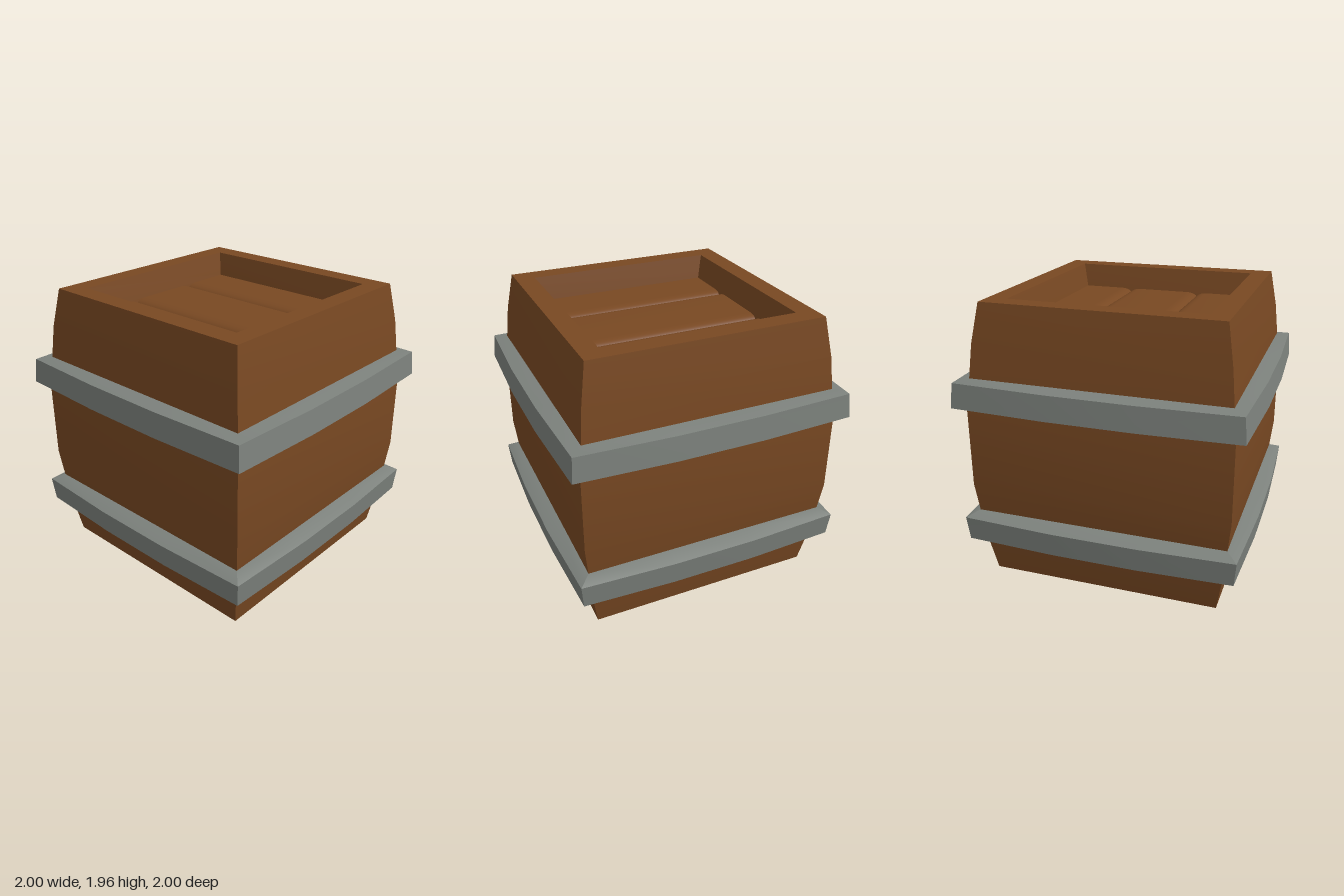
import * as THREE from 'three';
import { toCreasedNormals } from 'three/addons/utils/BufferGeometryUtils.js';

const wood = new THREE.MeshStandardMaterial({ color: 0x784822 });
wood.name = 'brown wood';
const iron = new THREE.MeshStandardMaterial({ color: 0x7c817c });
iron.name = 'grey iron';

function addMesh(group, name, geometry, material) {
  const mesh = new THREE.Mesh(toCreasedNormals(geometry, 0.5), material);
  mesh.name = name;
  group.add(mesh);
  return mesh;
}

// Square loft: profile points are [half width, height]
function squareLathe(profile) {
  const pts = profile.map(([h, y]) => new THREE.Vector2(h * Math.SQRT2, y));
  return new THREE.LatheGeometry(pts, 4, Math.PI / 4);
}

// Square ring whose sides bow outwards: profile points are [corner half width, height, bow]
function bowedRing(profile) {
  const n = profile.length;
  const geo = new THREE.LatheGeometry(profile.map(([h, y]) => new THREE.Vector2(h, y)), 12);
  const pos = geo.attributes.position;
  for (let i = 0; i <= 12; i++) {
    for (let j = 0; j < n; j++) {
      const [h, y, bow] = profile[j];
      const step = i % 3;
      let x = h + (step ? bow : 0);
      let z = step === 0 ? h : (step === 1 ? 0.3 : -0.3);
      for (let k = 0; k < Math.floor(i / 3); k++) [x, z] = [z, -x];
      pos.setXYZ(i * n + j, x, y, z);
    }
  }
  return geo;
}

// Lid board with rounded long edges where it meets its neighbours
function plank(x0, x1, roundLeft, roundRight) {
  const base = 1.74, top = 1.79, drop = 0.025, r = 0.08;
  const s = new THREE.Shape();
  s.moveTo(x0, base);
  s.lineTo(x1, base);
  if (roundRight) {
    s.lineTo(x1, top - drop);
    s.quadraticCurveTo(x1 - r * 0.3, top, x1 - r, top);
  } else s.lineTo(x1, top);
  if (roundLeft) {
    s.lineTo(x0 + r, top);
    s.quadraticCurveTo(x0 + r * 0.3, top, x0, top - drop);
  } else s.lineTo(x0, top);
  s.closePath();
  const geo = new THREE.ExtrudeGeometry(s, { depth: 1.26, bevelEnabled: false, curveSegments: 6 });
  return geo.translate(0, 0, -0.63);
}

export function createModel() {
  const group = new THREE.Group();
  group.name = 'squareBarrel';

  // Bulging body with a recess in the top and the bottom
  addMesh(group, 'body', squareLathe([
    [0, 0.16], [0.63, 0.16], [0.67, 0], [0.805, 0],
    [0.85, 0.27], [0.873, 0.48], [0.896, 0.7], [0.896, 1.255],
    [0.873, 1.46], [0.85, 1.69], [0.805, 1.955],
    [0.67, 1.955], [0.63, 1.79], [0.623, 1.755], [0, 1.755],
  ]), wood);

  // Three boards in the top recess
  addMesh(group, 'leftLidPlank', plank(-0.63, -0.268, false, true), wood);
  addMesh(group, 'middleLidPlank', plank(-0.268, 0.263, true, true), wood);
  addMesh(group, 'rightLidPlank', plank(0.263, 0.63, true, false), wood);

  // Iron bands
  addMesh(group, 'upperBand', bowedRing([
    [0.86, 1.238, 0], [0.895, 1.24, 0], [0.97, 1.275, 0.03],
    [0.955, 1.445, 0.028], [0.873, 1.46, 0], [0.84, 1.462, 0],
  ]), iron);
  addMesh(group, 'lowerBand', bowedRing([
    [0.82, 0.272, 0], [0.85, 0.275, 0], [0.935, 0.288, 0.028],
    [0.95, 0.457, 0.03], [0.873, 0.495, 0], [0.84, 0.497, 0],
  ]), iron);

  return group;
}
